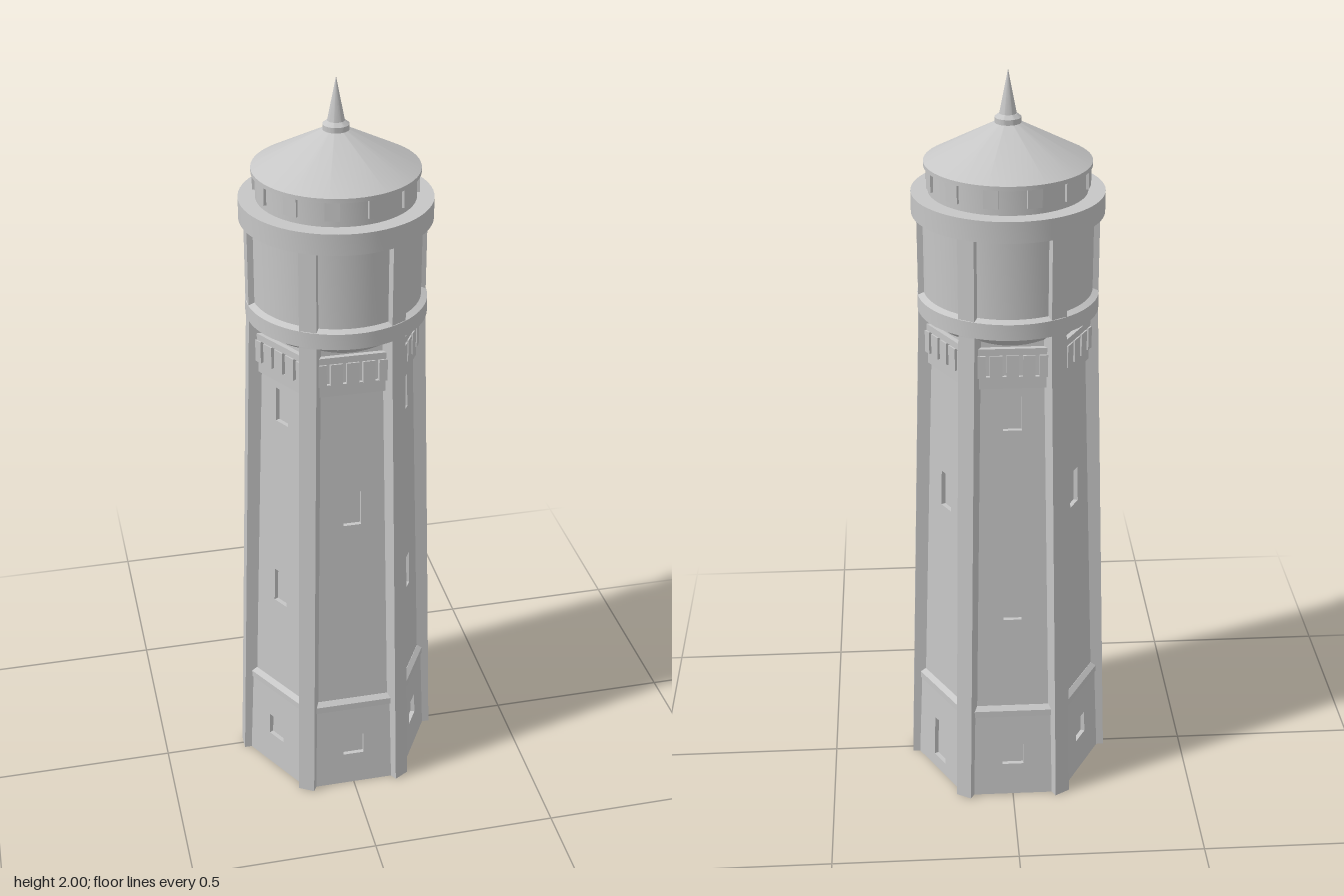
import * as THREE from 'three';
import { toCreasedNormals } from 'three/addons/utils/BufferGeometryUtils.js';

const T30 = Math.tan(Math.PI / 6);
const COS30 = Math.cos(Math.PI / 6);

export function createModel() {
  const tower = new THREE.Group();
  tower.name = 'waterTower';
  const stone = new THREE.MeshStandardMaterial({ color: 0xc6c6c6 });
  stone.name = 'stone grey';

  const add = (geometry, name, parent = tower) => {
    const mesh = new THREE.Mesh(geometry, stone);
    mesh.name = name;
    parent.add(mesh);
    return mesh;
  };

  // Six-sided frustum, sized by its apothems, with corners on the x axis
  const hex = (name, bottom, top, y0, y1) => {
    const g = new THREE.CylinderGeometry(top / COS30, bottom / COS30, y1 - y0, 6, 1, false, Math.PI / 6).toNonIndexed();
    g.computeVertexNormals();
    add(g, name).position.y = (y0 + y1) / 2;
  };

  // Turned part from [radius, y] points
  const turned = (name, points) => {
    const g = new THREE.LatheGeometry(points.map(([x, y]) => new THREE.Vector2(x, y)), 64);
    add(toCreasedNormals(g, 0.4), name);
  };

  // Sloping wall panel with window openings [width, y0, y1]
  const DEPTH = 0.012;
  const wallPanel = (name, parent, a0, a1, y0, y1, openings) => {
    const h = y1 - y0;
    const tilt = Math.atan((a0 - a1) / h);
    const slant = h / Math.cos(tilt);
    const shape = new THREE.Shape([
      new THREE.Vector2(-a0 * T30, 0), new THREE.Vector2(a0 * T30, 0),
      new THREE.Vector2(a1 * T30, slant), new THREE.Vector2(-a1 * T30, slant),
    ]);
    for (const [w, b, t] of openings) {
      const lo = b - y0, hi = t - y0;
      shape.holes.push(new THREE.Path([
        new THREE.Vector2(-w / 2, lo), new THREE.Vector2(-w / 2, hi),
        new THREE.Vector2(w / 2, hi), new THREE.Vector2(w / 2, lo),
      ]));
    }
    const g = new THREE.ExtrudeGeometry(shape, { depth: DEPTH, bevelEnabled: false });
    g.translate(0, 0, -DEPTH);
    const mesh = add(g, name, parent);
    mesh.position.set(0, y0, a0);
    mesh.rotation.x = -tilt;
  };

  // Solid cores seen at the back of the window recesses
  hex('plinthCore', 0.222, 0.212, 0, 0.26);
  hex('shaftCore', 0.203, 0.168, 0.26, 1.39);

  // String courses
  hex('plinthLedge', 0.227, 0.227, 0.258, 0.277);
  hex('plinthLedgeSlope', 0.227, 0.215, 0.277, 0.288);
  hex('friezeLedge', 0.192, 0.192, 1.24, 1.272);
  hex('friezeCap', 0.194, 0.194, 1.332, 1.35);

  // Faces alternate between one middle window and two staggered windows
  for (let i = 0; i < 6; i++) {
    const face = new THREE.Group();
    face.name = 'towerFace' + (i + 1);
    face.rotation.y = i * Math.PI / 3;
    tower.add(face);

    const lower = i === 2 ? [0.058, 0.04, 0.165] : [0.058, 0.1, 0.165];
    const upper = i % 2 === 0 ? [[0.048, 0.85, 0.95]] : [[0.048, 0.56, 0.66], [0.048, 1.12, 1.215]];
    wallPanel('plinthWall', face, 0.234, 0.224, 0, 0.26, [lower]);
    wallPanel('shaftWall', face, 0.215, 0.180, 0.26, 1.39, upper);

    // Row of corbel blocks under the tank
    for (let j = -2; j <= 2; j++) {
      const block = add(new THREE.BoxGeometry(0.031, 0.06, 0.03), 'corbel', face);
      block.position.set(j * 0.0415, 1.302, 0.183);
    }
  }

  // Corner pilasters, leaning on the shaft and upright beside the tank
  const profile = new THREE.Shape([
    [0.277, 0], [0.23, 1.385], [0.23, 1.66], [0.19, 1.66], [0.18, 1.385], [0.22, 0],
  ].map(([x, y]) => new THREE.Vector2(x, y)));
  for (let i = 0; i < 6; i++) {
    const g = new THREE.ExtrudeGeometry(profile, { depth: 0.045, bevelEnabled: false });
    g.translate(0, 0, -0.0225);
    add(g, 'cornerPilaster').rotation.y = i * Math.PI / 3;
  }

  // Round tank with its flared underside, belt and cornice
  turned('tank', [
    [0, 1.345], [0.172, 1.345], [0.222, 1.388], [0.232, 1.388], [0.232, 1.43], [0.216, 1.437],
    [0.216, 1.645], [0.243, 1.645], [0.243, 1.7], [0, 1.7],
  ]);

  // Lantern storey with a ring of small windows
  turned('lantern', [[0.2, 1.695], [0.2, 1.77]]);
  for (let i = 0; i < 12; i++) {
    const a = (i + 0.5) * Math.PI / 6;
    const pane = add(new THREE.BoxGeometry(0.037, 0.048, 0.012), 'lanternWindow');
    pane.position.set(Math.sin(a) * 0.2, 1.741, Math.cos(a) * 0.2);
    pane.rotation.y = a;
  }

  // Conical roof and finial
  turned('roof', [[0, 1.765], [0.21, 1.765], [0.21, 1.776], [0.03, 1.872], [0, 1.872]]);
  turned('finialCollar', [[0.033, 1.865], [0.033, 1.884], [0.022, 1.893], [0, 1.893]]);
  turned('finialSpike', [[0.022, 1.89], [0.0005, 2]]);

  return tower;
}
